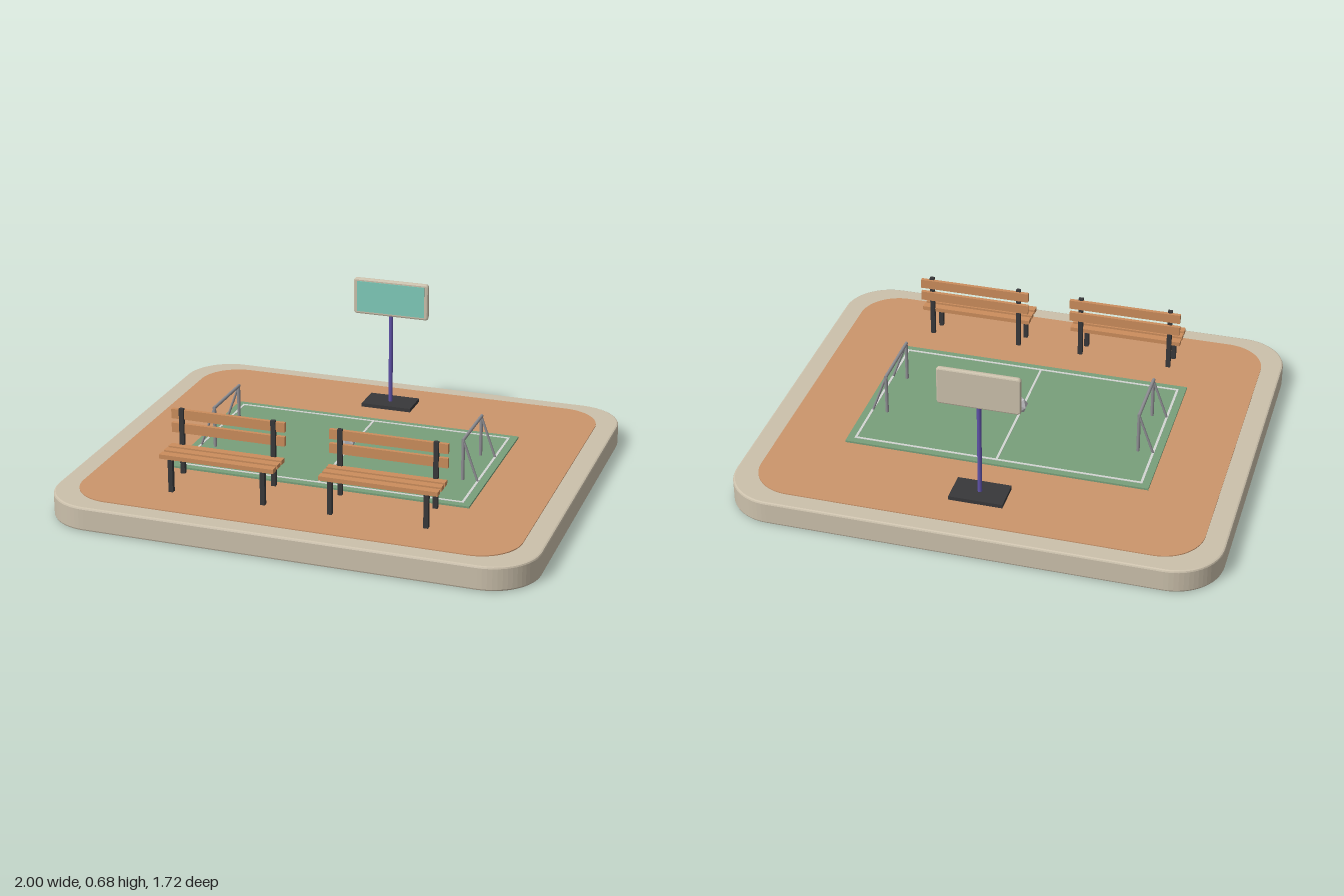
import * as THREE from 'three';

const mat = (name, color) => Object.assign(new THREE.MeshStandardMaterial({ color }), { name });

export function createModel() {
  const stone = mat('stone', 0xcbc0ab);
  const clay = mat('clay', 0xcb956b);
  const turf = mat('turf', 0x789f7a);
  const paint = mat('linePaint', 0xd3d6d3);
  const wood = mat('wood', 0xcb8d5c);
  const iron = mat('darkIron', 0x38383a);
  const violet = mat('violetPole', 0x5f52a8);
  const teal = mat('tealPanel', 0x7fcbb9);
  const steel = mat('steel', 0x8f8f94);
  const leather = mat('ballGrey', 0xbcbcc0);

  const model = new THREE.Group();
  model.name = 'sportsCourt';

  function add(parent, name, geometry, material, x = 0, y = 0, z = 0) {
    const mesh = new THREE.Mesh(geometry, material);
    mesh.name = name;
    mesh.position.set(x, y, z);
    parent.add(mesh);
    return mesh;
  }
  const box = (parent, name, material, w, h, d, x, y, z) =>
    add(parent, name, new THREE.BoxGeometry(w, h, d), material, x, y, z);

  // Cylinder running between two points
  function rod(parent, name, material, a, b, radius) {
    const from = new THREE.Vector3(...a), to = new THREE.Vector3(...b);
    const dir = to.clone().sub(from);
    const mesh = add(parent, name, new THREE.CylinderGeometry(radius, radius, dir.length(), 10), material);
    mesh.position.copy(from).add(to).multiplyScalar(0.5);
    mesh.quaternion.setFromUnitVectors(new THREE.Vector3(0, 1, 0), dir.normalize());
    return mesh;
  }

  // Rounded rectangle with half sizes hw, hh, extruded and bevelled within its outer size
  function roundedPlate(hw, hh, r, depth, bevel) {
    const w = hw - bevel, h = hh - bevel, q = r - bevel;
    const s = new THREE.Shape();
    s.absarc(w - q, h - q, q, 0, Math.PI / 2);
    s.absarc(q - w, h - q, q, Math.PI / 2, Math.PI);
    s.absarc(q - w, q - h, q, Math.PI, Math.PI * 1.5);
    s.absarc(w - q, q - h, q, Math.PI * 1.5, Math.PI * 2);
    const g = new THREE.ExtrudeGeometry(s, {
      depth: depth - 2 * bevel, curveSegments: 8, bevelEnabled: bevel > 0,
      bevelSize: bevel, bevelThickness: bevel, bevelSegments: 2,
    });
    return g.translate(0, 0, bevel);
  }

  // Plinth and clay surface
  add(model, 'plinth', roundedPlate(1, 0.862, 0.2, 0.1, 0.008).rotateX(-Math.PI / 2), stone);
  add(model, 'claySurface', roundedPlate(0.912, 0.785, 0.17, 0.004, 0).rotateX(-Math.PI / 2), clay, 0, 0.1, 0);

  // Pitch with painted lines
  const pitch = new THREE.Group();
  pitch.name = 'pitch';
  model.add(pitch);
  box(pitch, 'turf', turf, 1.27, 0.01, 0.766, 0, 0.107, 0);
  const lineY = 0.1125;
  for (const s of [-1, 1]) {
    box(pitch, 'sideLine', paint, 1.21, 0.003, 0.01, 0, lineY, s * 0.35);
    box(pitch, 'goalLine', paint, 0.01, 0.003, 0.69, s * 0.6, lineY, 0);
  }
  box(pitch, 'halfwayLine', paint, 0.01, 0.003, 0.69, 0, lineY, 0);

  // Goals with upright posts and sloping rear braces
  for (const s of [-1, 1]) {
    const goal = new THREE.Group();
    goal.name = s > 0 ? 'leftGoal' : 'rightGoal';
    model.add(goal);
    for (const z of [-0.134, 0.134]) {
      rod(goal, 'goalPost', steel, [s * 0.537, 0.11, z], [s * 0.537, 0.286, z], 0.007);
      rod(goal, 'goalBrace', steel, [s * 0.6, 0.11, z], [s * 0.537, 0.284, z], 0.005);
    }
    rod(goal, 'crossbar', steel, [s * 0.537, 0.285, -0.141], [s * 0.537, 0.285, 0.141], 0.007);
  }

  // Faceted ball on the centre spot
  add(model, 'ball', new THREE.IcosahedronGeometry(0.037, 0), leather, 0, 0.154, 0);

  // Two benches facing the front edge
  for (const s of [-1, 1]) {
    const bench = new THREE.Group();
    bench.name = s > 0 ? 'leftBench' : 'rightBench';
    bench.position.x = s * 0.334;
    model.add(bench);
    for (const z of [0.506, 0.553, 0.601])
      box(bench, 'seatSlat', wood, 0.482, 0.018, 0.033, 0, 0.252, z);
    for (const y of [0.327, 0.386])
      box(bench, 'backSlat', wood, 0.482, 0.04, 0.016, 0, y, 0.478);
    for (const x of [-0.195, 0.195]) {
      box(bench, 'backPost', iron, 0.019, 0.278, 0.016, x, 0.275, 0.488);
      box(bench, 'frontLeg', iron, 0.019, 0.138, 0.019, x, 0.174, 0.609);
    }
  }

  // Display board on a pole with a heavy foot
  const sign = new THREE.Group();
  sign.name = 'displayBoard';
  sign.position.z = -0.585;
  model.add(sign);
  box(sign, 'foot', iron, 0.222, 0.018, 0.135, 0, 0.111, 0);
  rod(sign, 'pole', violet, [0, 0.118, 0], [0, 0.53, 0], 0.009);
  add(sign, 'boardFrame', roundedPlate(0.169, 0.081, 0.014, 0.022, 0.007), stone, 0, 0.594, -0.011);
  box(sign, 'boardPanel', teal, 0.304, 0.137, 0.004, 0, 0.594, 0.0115);

  return model;
}
